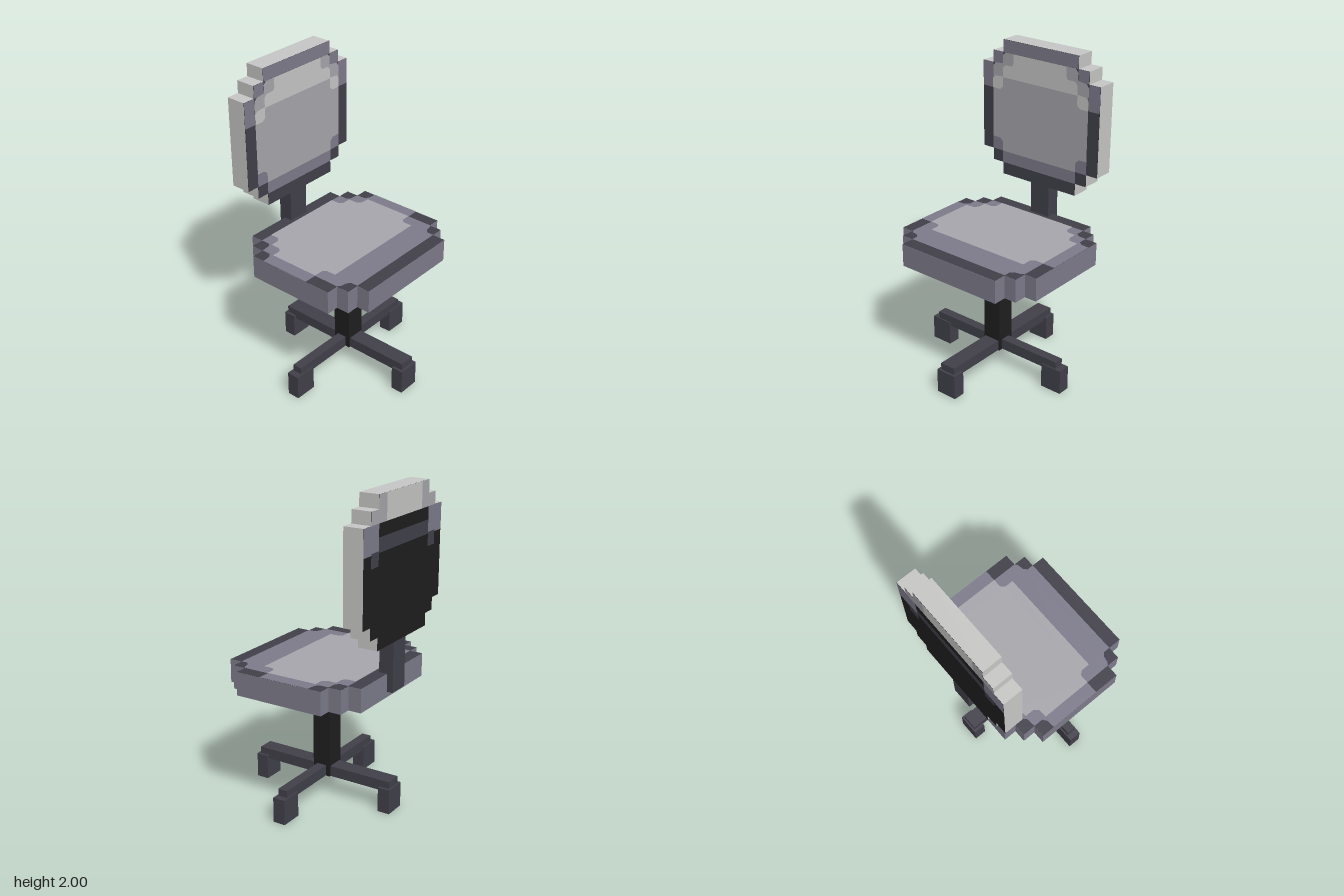
import * as THREE from 'three';

const mat = (name, color) => new THREE.MeshStandardMaterial({ name, color });

// closed shape from the right half of a symmetric outline
function mirrored(half) {
  const left = half.map(([x, y]) => [-x, y]).reverse();
  return new THREE.Shape([...half, ...left].map(([x, y]) => new THREE.Vector2(x, y)));
}

const rect = (x0, y0, x1, y1) => new THREE.Shape(
  [[x0, y0], [x1, y0], [x1, y1], [x0, y1]].map(([x, y]) => new THREE.Vector2(x, y)));

// the same cell on both sides
const pair = (x0, y0, x1, y1) => [rect(x0, y0, x1, y1), rect(-x1, y0, -x0, y1)];

export function createModel() {
  const black = mat('black', 0x1f1f1f);
  const dark = mat('charcoal', 0x42414b);
  const purple = mat('slatePurple', 0x7f7d8d);
  const grey = mat('midGrey', 0xa9a8ae);
  const light = mat('lightGrey', 0xc9c9c8);
  const under = mat('undersideGrey', 0x808288);
  const model = new THREE.Group();

  function add(parent, name, geometry, material) {
    const mesh = new THREE.Mesh(geometry, material);
    mesh.name = name;
    parent.add(mesh);
    return mesh;
  }
  function box(name, material, x0, x1, y0, y1, z0, z1) {
    const g = new THREE.BoxGeometry(x1 - x0, y1 - y0, z1 - z0);
    g.translate((x0 + x1) / 2, (y0 + y1) / 2, (z0 + z1) / 2);
    return add(model, name, g, material);
  }
  // flat patch lying at depth z of a slab
  function patch(parent, name, shapes, material, z) {
    add(parent, name, new THREE.ShapeGeometry(shapes), material).position.z = z;
  }
  const slab = (shape, depth) => new THREE.ExtrudeGeometry(shape, { depth, bevelEnabled: false });

  // base: crossed bars with four feet
  box('crossBar', dark, -0.485, 0.485, 0.135, 0.205, -0.018, 0.044);
  box('lengthBar', dark, -0.052, 0.052, 0.136, 0.204, -0.47, 0.492);
  for (const s of [-1, 1]) {
    const x = s * 0.454;
    box('sideFoot', dark, x - 0.072, x + 0.072, 0, 0.16, -0.028, 0.053);
  }
  box('frontFoot', dark, -0.07, 0.07, 0, 0.16, 0.428, 0.508);
  box('backFoot', dark, -0.07, 0.07, 0, 0.16, -0.482, -0.402);
  box('column', black, -0.063, 0.06, 0.134, 0.77, -0.047, 0.073);
  box('backPost', dark, -0.07, 0.07, 0.795, 1.13, -0.49, -0.397);

  // seat: drawn flat with shape y = -z, then laid down
  const seat = new THREE.Group();
  seat.name = 'seat';
  seat.rotation.x = -Math.PI / 2;
  seat.position.y = 0.76;
  model.add(seat);
  const seatOutline = mirrored([
    [0.363, -0.473], [0.363, -0.388], [0.443, -0.388], [0.443, -0.304], [0.523, -0.304],
    [0.523, 0.285], [0.443, 0.285], [0.443, 0.368], [0.363, 0.368], [0.363, 0.451]]);
  add(seat, 'seatCushion', slab(seatOutline, 0.146), [under, purple]);
  patch(seat, 'seatRim', seatOutline, dark, 0.147);
  patch(seat, 'seatBorder', mirrored([
    [0.363, -0.388], [0.363, -0.345], [0.385, -0.325], [0.425, -0.318], [0.443, -0.304],
    [0.443, -0.137], [0.523, -0.137], [0.523, 0.2], [0.47, 0.205], [0.443, 0.225],
    [0.443, 0.285], [0.385, 0.29], [0.363, 0.31], [0.363, 0.368]]), purple, 0.149);
  patch(seat, 'seatCentre', mirrored([
    [0.363, -0.22], [0.363, -0.16], [0.385, -0.137], [0.443, -0.137], [0.443, 0.197],
    [0.385, 0.2], [0.363, 0.225], [0.363, 0.285], [0.305, 0.288], [0.283, 0.31],
    [0.283, 0.368]]), grey, 0.151);

  // backrest slab, light around its edge
  const back = new THREE.Group();
  back.name = 'backrest';
  back.position.z = -0.505;
  model.add(back);
  const backOutline = mirrored([
    [0.283, 1.118], [0.283, 1.197], [0.363, 1.197], [0.363, 1.275], [0.443, 1.275],
    [0.443, 1.842], [0.363, 1.842], [0.363, 1.92], [0.283, 1.92], [0.283, 2]]);
  add(back, 'backrestBody', slab(backOutline, 0.126), [black, light]);

  // backrest front
  patch(back, 'frontRim', backOutline, dark, 0.127);
  patch(back, 'frontBorder', [
    rect(-0.283, 1.92, 0.283, 2), rect(-0.283, 1.197, 0.283, 1.3),
    ...pair(0.283, 1.842, 0.363, 1.92), ...pair(0.363, 1.68, 0.443, 1.842),
    ...pair(0.26, 1.275, 0.363, 1.37)], purple, 0.1285);
  patch(back, 'frontPad', mirrored([
    [0.283, 1.275], [0.283, 1.335], [0.305, 1.357], [0.363, 1.36],
    [0.363, 1.82], [0.345, 1.842], [0.283, 1.85], [0.283, 1.9], [0.265, 1.92]]), grey, 0.13);
  patch(back, 'frontHighlight', mirrored([
    [0.283, 1.76], [0.283, 1.7], [0.305, 1.68], [0.363, 1.68], [0.363, 1.74], [0.345, 1.76],
    [0.283, 1.765], [0.283, 1.82], [0.265, 1.84], [0.21, 1.842], [0.2, 1.86], [0.2, 1.92]]),
  light, 0.1315);

  // backrest rear
  const rear = new THREE.Group();
  rear.name = 'backrestRear';
  rear.rotation.y = Math.PI;
  back.add(rear);
  patch(rear, 'rearTopCorners', [
    ...pair(0.2, 1.842, 0.283, 2), ...pair(0.283, 1.842, 0.363, 1.92)], grey, 0.001);
  patch(rear, 'rearTop', rect(-0.2, 1.842, 0.2, 2), light, 0.001);
  patch(rear, 'rearSideMarks', [
    ...pair(0.363, 1.68, 0.443, 1.842), ...pair(0.283, 1.69, 0.363, 1.842)], purple, 0.001);
  patch(rear, 'rearBand', [
    rect(-0.283, 1.68, 0.283, 1.765), ...pair(0.283, 1.605, 0.363, 1.69)], dark, 0.001);

  return model;
}
